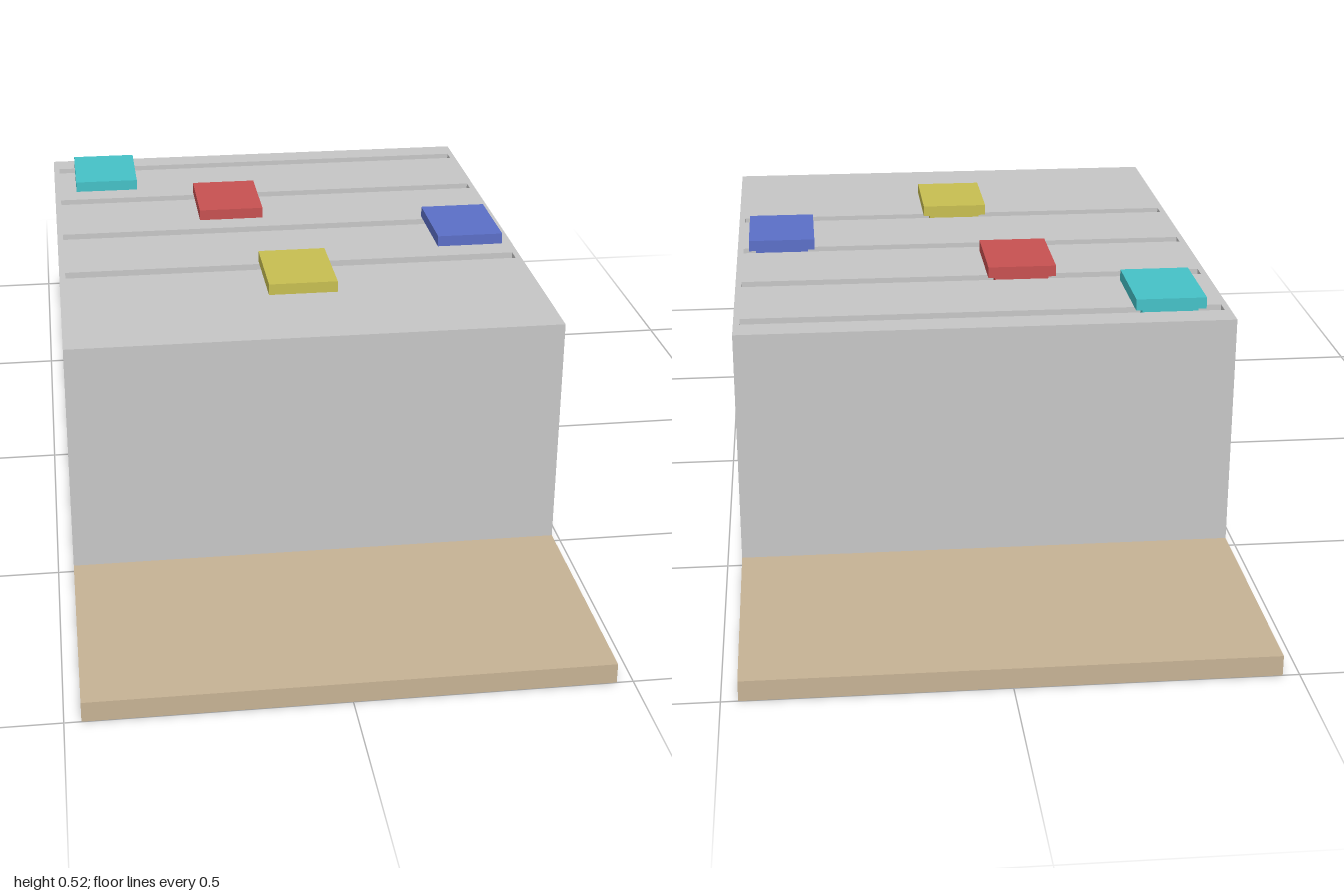
import * as THREE from 'three';
import { mergeGeometries } from 'three/addons/utils/BufferGeometryUtils.js';

const material = (name, color) => new THREE.MeshStandardMaterial({ name, color });

const WIDTH = 0.94, BASE_TOP = 0.038, TOP = 0.492, BODY_DEPTH = 1.085;
const SLOT_WIDTH = 0.916, SLOT_SIZE = 0.031, SLOT_DEPTH = 0.035;

function box(w, y0, y1, d, x = 0, z = 0) {
  return new THREE.BoxGeometry(w, y1 - y0, d).translate(x, (y0 + y1) / 2, z);
}

// Box without its top face
function openBox(...args) {
  const g = box(...args);
  const index = Array.from(g.index.array);
  index.splice(12, 6);
  g.setIndex(index);
  g.clearGroups();
  return g;
}

// Open box turned inside out, for a recess
function recess(...args) {
  const g = openBox(...args).scale(-1, 1, 1);
  g.computeVertexNormals();
  return g;
}

function rectangle(path, w, d, z = 0) {
  path.moveTo(-w / 2, -z - d / 2);
  path.lineTo(w / 2, -z - d / 2);
  path.lineTo(w / 2, -z + d / 2);
  path.lineTo(-w / 2, -z + d / 2);
  path.closePath();
  return path;
}

export function createModel() {
  const model = new THREE.Group();
  model.name = 'sliderBox';
  const add = (parent, name, geometry, mat) => {
    const mesh = new THREE.Mesh(geometry, mat);
    mesh.name = name;
    parent.add(mesh);
  };

  const tan = material('tan board', 0xc8b496);
  const grey = material('grey housing', 0xc8c8c8);

  // Slider knobs: x position and slot z, back to front
  const sliders = [
    { name: 'cyanSlider', x: -0.355, z: -0.471, mat: material('cyan', 0x46c3c9) },
    { name: 'redSlider', x: -0.097, z: -0.255, mat: material('red', 0xc95252) },
    { name: 'blueSlider', x: 0.378, z: -0.038, mat: material('blue', 0x5c70c9) },
    { name: 'yellowSlider', x: 0, z: 0.18, mat: material('yellow', 0xc9c052) },
  ];

  // Base board
  add(model, 'baseBoard', box(WIDTH, 0, BASE_TOP, 2), tan);

  // Housing with four slots sunk into its top
  const lid = rectangle(new THREE.Shape(), WIDTH, BODY_DEPTH);
  for (const s of sliders) lid.holes.push(rectangle(new THREE.Path(), SLOT_WIDTH, SLOT_SIZE, s.z));
  const housing = mergeGeometries([
    openBox(WIDTH, BASE_TOP, TOP, BODY_DEPTH),
    new THREE.ShapeGeometry(lid).rotateX(-Math.PI / 2).translate(0, TOP, 0),
    ...sliders.map(s => recess(SLOT_WIDTH, TOP - SLOT_DEPTH, TOP, SLOT_SIZE, 0, s.z)),
  ]);
  add(model, 'housing', housing, grey);

  // Each slider: a stem in the slot under a flat cap reaching forward
  for (const s of sliders) {
    const slider = new THREE.Group();
    slider.name = s.name;
    add(slider, 'stem', box(0.108, TOP - SLOT_DEPTH + 0.002, 0.497, 0.022, s.x, s.z), s.mat);
    add(slider, 'cap', box(0.135, 0.497, 0.519, 0.181, s.x, s.z + 0.072), s.mat);
    model.add(slider);
  }
  return model;
}
